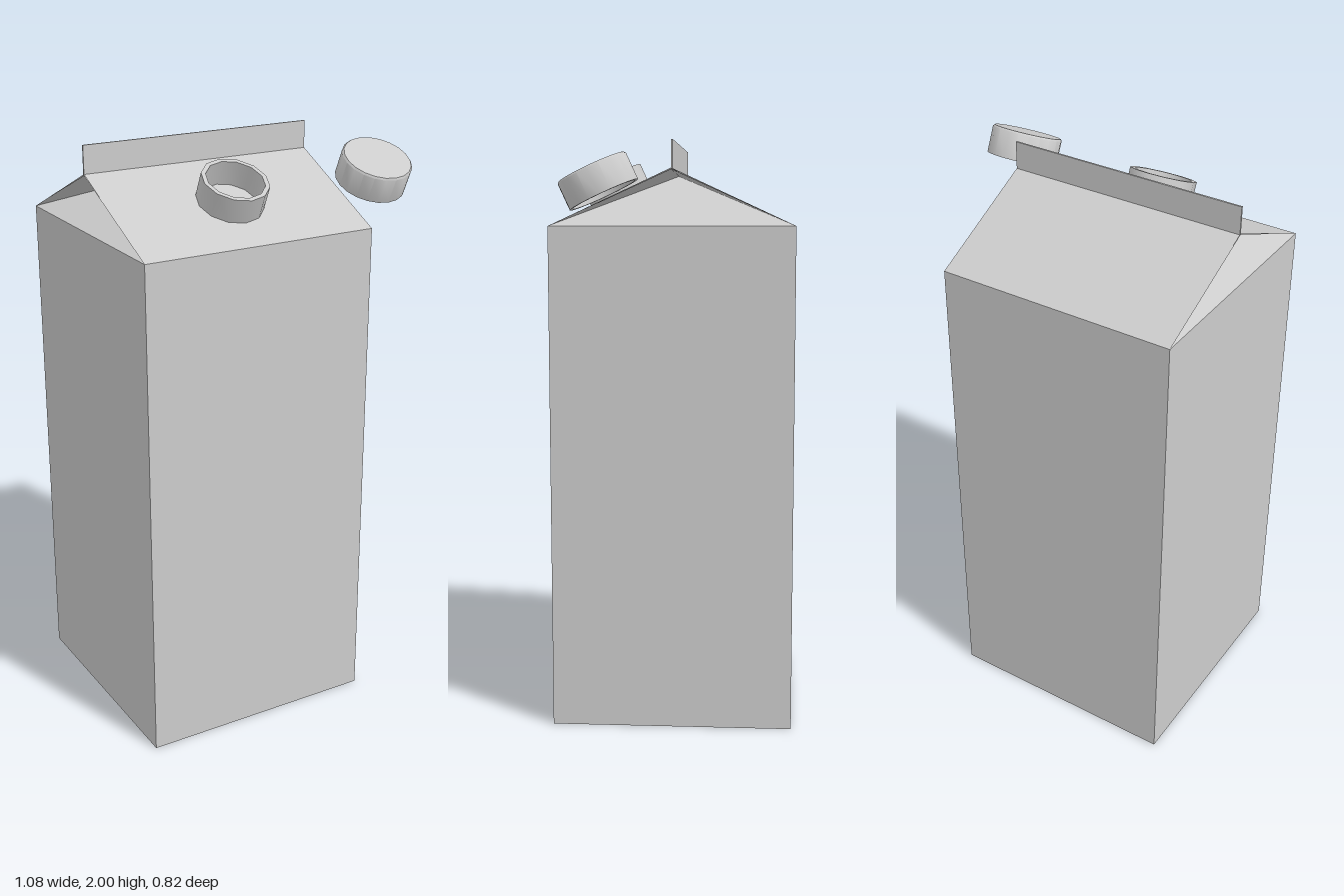
import * as THREE from 'three';
import { toCreasedNormals } from 'three/addons/utils/BufferGeometryUtils.js';

const MID = -0.127;    // carton centre in x
const HALF = 0.412;    // half width of the square base
const EAVE = 1.718;    // top of the walls
const RIDGE = 1.908;   // where the roof panels meet
const FOLD = 0.38;     // how far the gable ends tuck inward
const TILT = Math.atan2(RIDGE - EAVE, HALF);

const card = new THREE.MeshStandardMaterial({ color: 0xcccccc, side: THREE.DoubleSide });
const plastic = new THREE.MeshStandardMaterial({ color: 0xcccccc });

// Flat panel from three or four corners, counter-clockwise seen from outside
function panel(name, corners) {
  const geo = new THREE.BufferGeometry();
  geo.setAttribute('position', new THREE.Float32BufferAttribute(corners.flat(), 3));
  geo.setIndex(corners.length === 4 ? [0, 1, 2, 0, 2, 3] : [0, 1, 2]);
  geo.computeVertexNormals();
  const mesh = new THREE.Mesh(geo, card);
  mesh.name = name;
  return mesh;
}

// Turned part standing square to the sloping roof
function turned(name, profile, sides, x, y, z) {
  const points = profile.map(([r, h]) => new THREE.Vector2(r, h));
  const geo = toCreasedNormals(new THREE.LatheGeometry(points, sides), 0.7);
  const mesh = new THREE.Mesh(geo, plastic);
  mesh.name = name;
  mesh.position.set(x, y, z);
  mesh.rotation.x = TILT;
  return mesh;
}

// Panels for the front, then turned half round for the back
function longSide(name) {
  const side = new THREE.Group();
  side.name = name;
  side.add(
    panel(name + 'Wall', [[-HALF, 0, HALF], [HALF, 0, HALF], [HALF, EAVE, HALF], [-HALF, EAVE, HALF]]),
    panel(name + 'Roof', [[-HALF, EAVE, HALF], [HALF, EAVE, HALF], [HALF, RIDGE, 0], [-HALF, RIDGE, 0]]),
  );
  return side;
}

// Side wall with its triangular gable tucked under the roof
function gableSide(name) {
  const side = new THREE.Group();
  side.name = name;
  const front = [HALF, EAVE, HALF], back = [HALF, EAVE, -HALF];
  const ridge = [HALF, RIDGE - 0.004, 0], inner = [HALF - FOLD, RIDGE - 0.015, 0];
  side.add(
    panel(name + 'Wall', [[HALF, 0, HALF], [HALF, 0, -HALF], back, front]),
    panel(name + 'Gable', [front, back, inner]),
    panel(name + 'FrontFlap', [front, inner, ridge]),
    panel(name + 'BackFlap', [back, ridge, inner]),
  );
  return side;
}

export function createModel() {
  const model = new THREE.Group();
  model.name = 'milkCarton';

  // Carton
  const carton = new THREE.Group();
  carton.name = 'carton';
  carton.position.x = MID;
  const back = longSide('back');
  const right = gableSide('right');
  back.rotation.y = right.rotation.y = Math.PI;
  carton.add(longSide('front'), back, gableSide('left'), right);
  carton.add(panel('base', [[-HALF, 0, -HALF], [HALF, 0, -HALF], [HALF, 0, HALF], [-HALF, 0, HALF]]));

  // Sealed fin along the ridge
  const fin = new THREE.Mesh(new THREE.BoxGeometry(HALF * 2, 2 - RIDGE + 0.004, 0.006), card);
  fin.name = 'topFin';
  fin.position.set(0, (2 + RIDGE - 0.004) / 2, -0.002);
  carton.add(fin);
  model.add(carton);

  // Open pouring spout
  model.add(turned('spout',
    [[0.094, -0.004], [0.112, -0.004], [0.112, 0.087], [0.097, 0.087], [0.094, -0.004]],
    12, MID, 1.813, 0.206));

  // Removed cap, hollow underneath
  model.add(turned('cap',
    [[0, 0.082], [0.11, 0.082], [0.11, 0], [0.121, 0], [0.121, 0.09], [0.116, 0.096], [0, 0.096]],
    20, 0.417, 1.817, 0.207));

  return model;
}
